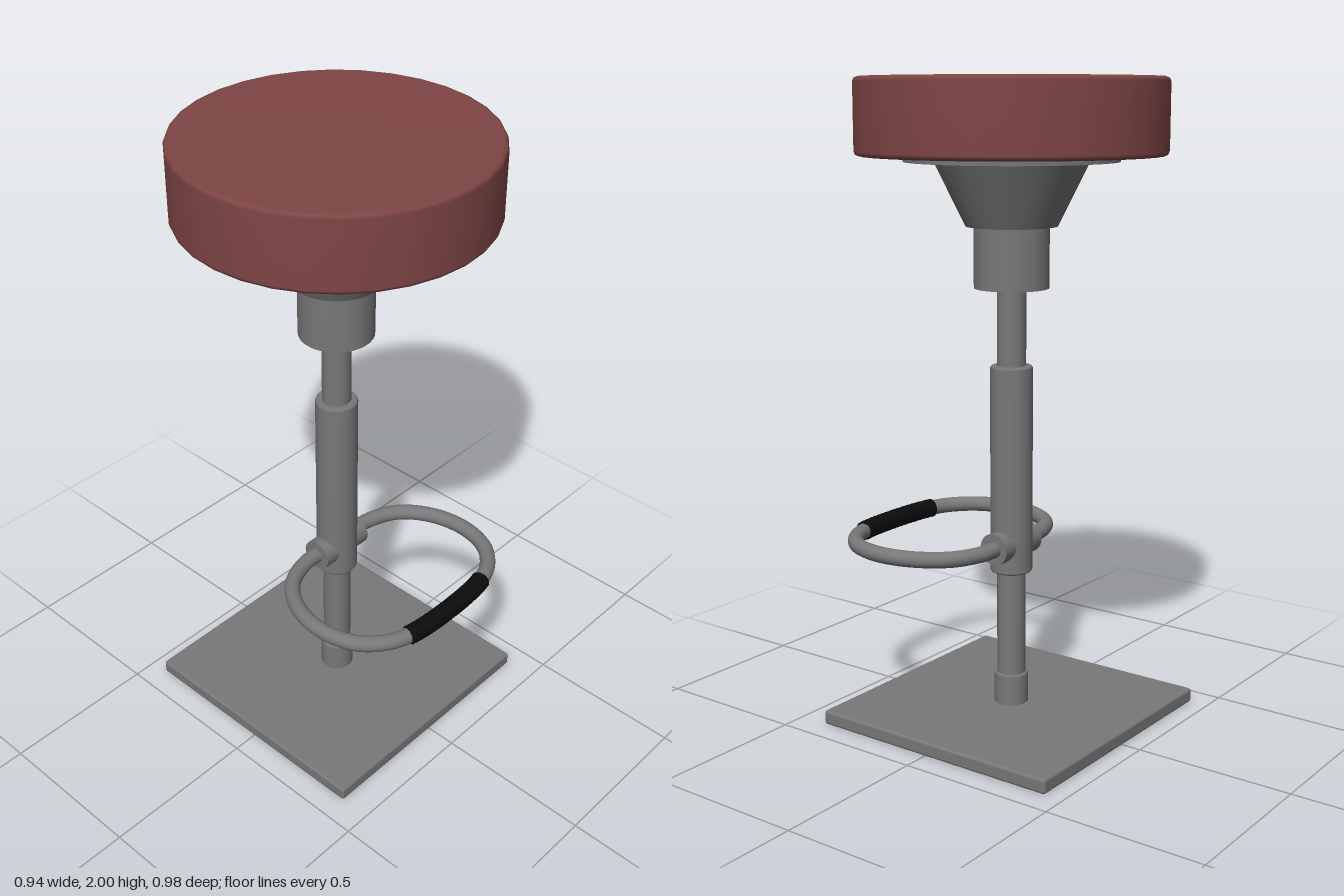
import * as THREE from 'three';
import { RoundedBoxGeometry } from 'three/addons/geometries/RoundedBoxGeometry.js';

const AXIS_Z = -0.018; // the column stands slightly behind the centre

export function createModel() {
  const model = new THREE.Group();
  model.name = 'barStool';

  const material = (name, color) => {
    const m = new THREE.MeshStandardMaterial({ color });
    m.name = name;
    return m;
  };
  const metal = material('grey metal', 0x787878);
  const leather = material('red leather', 0x7f4545);
  const rubber = material('black rubber', 0x0c0c0c);

  const add = (name, geometry, mat, x = 0, y = 0, z = 0) => {
    const mesh = new THREE.Mesh(geometry, mat);
    mesh.name = name;
    mesh.position.set(x, y, z);
    model.add(mesh);
    return mesh;
  };

  // Plain cylinder or cone between two heights
  const column = (name, y0, y1, r0, r1 = r0) =>
    add(name, new THREE.CylinderGeometry(r1, r0, y1 - y0, 32), metal, 0, (y0 + y1) / 2, AXIS_Z);

  // Closed turned solid with softened rims
  const turned = (name, y0, y1, r, bevel, mat) => {
    const profile = [
      [0, y0], [r - bevel, y0], [r - bevel * 0.3, y0 + bevel * 0.3], [r, y0 + bevel],
      [r, y1 - bevel], [r - bevel * 0.3, y1 - bevel * 0.3], [r - bevel, y1], [0, y1],
    ].map(([x, y]) => new THREE.Vector2(x, y));
    return add(name, new THREE.LatheGeometry(profile, 32), mat, 0, 0, AXIS_Z);
  };

  // Square foot plate
  add('basePlate', new RoundedBoxGeometry(0.845, 0.046, 0.845, 2, 0.009), metal, 0, 0.023, AXIS_Z);

  // Telescopic column
  turned('baseCollar', 0.04, 0.145, 0.054, 0.006, metal);
  column('pole', 0.04, 1.4, 0.045);
  turned('sleeve', 0.478, 1.135, 0.066, 0.008, metal);

  // Seat support
  column('supportHub', 1.373, 1.56, 0.115);
  column('supportCone', 1.56, 1.755, 0.14, 0.236);
  column('seatMount', 1.752, 1.775, 0.326);

  // Cushion
  turned('seatCushion', 1.77, 2, 0.47, 0.014, leather);

  // Cross boss that holds the foot ring
  const RING_Y = 0.568;
  add('ringBoss', new THREE.CylinderGeometry(0.05, 0.05, 0.19, 24), metal, 0, RING_Y, AXIS_Z)
    .rotation.z = Math.PI / 2;

  // Foot ring: half outline mirrored into a loop from boss to boss
  const half = [
    [0.07, -0.02], [0.15, -0.018], [0.25, 0.025], [0.317, 0.12],
    [0.338, 0.24], [0.31, 0.345], [0.25, 0.41], [0.175, 0.443],
  ];
  const outline = [...half, [0, 0.457], ...half.map(([x, z]) => [-x, z]).reverse()];
  const ringCurve = new THREE.CatmullRomCurve3(outline.map(([x, z]) => new THREE.Vector3(x, 0, z)));
  add('footRing', new THREE.TubeGeometry(ringCurve, 80, 0.025, 16), metal, 0, RING_Y, 0);

  // Ribbed grip over the front of the ring
  const gripCurve = new THREE.CatmullRomCurve3(
    ringCurve.getSpacedPoints(160).filter((p) => Math.abs(p.x) < 0.187 && p.z > 0.3));
  const RIBS = 60, SIDES = 16;
  const grip = new THREE.TubeGeometry(gripCurve, RIBS, 0.031, SIDES);
  const pos = grip.attributes.position, nor = grip.attributes.normal;
  for (let i = 0; i < pos.count; i++) {
    const ring = Math.floor(i / (SIDES + 1));
    const inset = ring === 0 || ring === RIBS ? 0.007 : ring % 2 ? 0 : 0.002;
    pos.setXYZ(i, pos.getX(i) - nor.getX(i) * inset,
      pos.getY(i) - nor.getY(i) * inset, pos.getZ(i) - nor.getZ(i) * inset);
  }
  grip.computeVertexNormals();
  add('footGrip', grip, rubber, 0, RING_Y, 0);

  return model;
}
